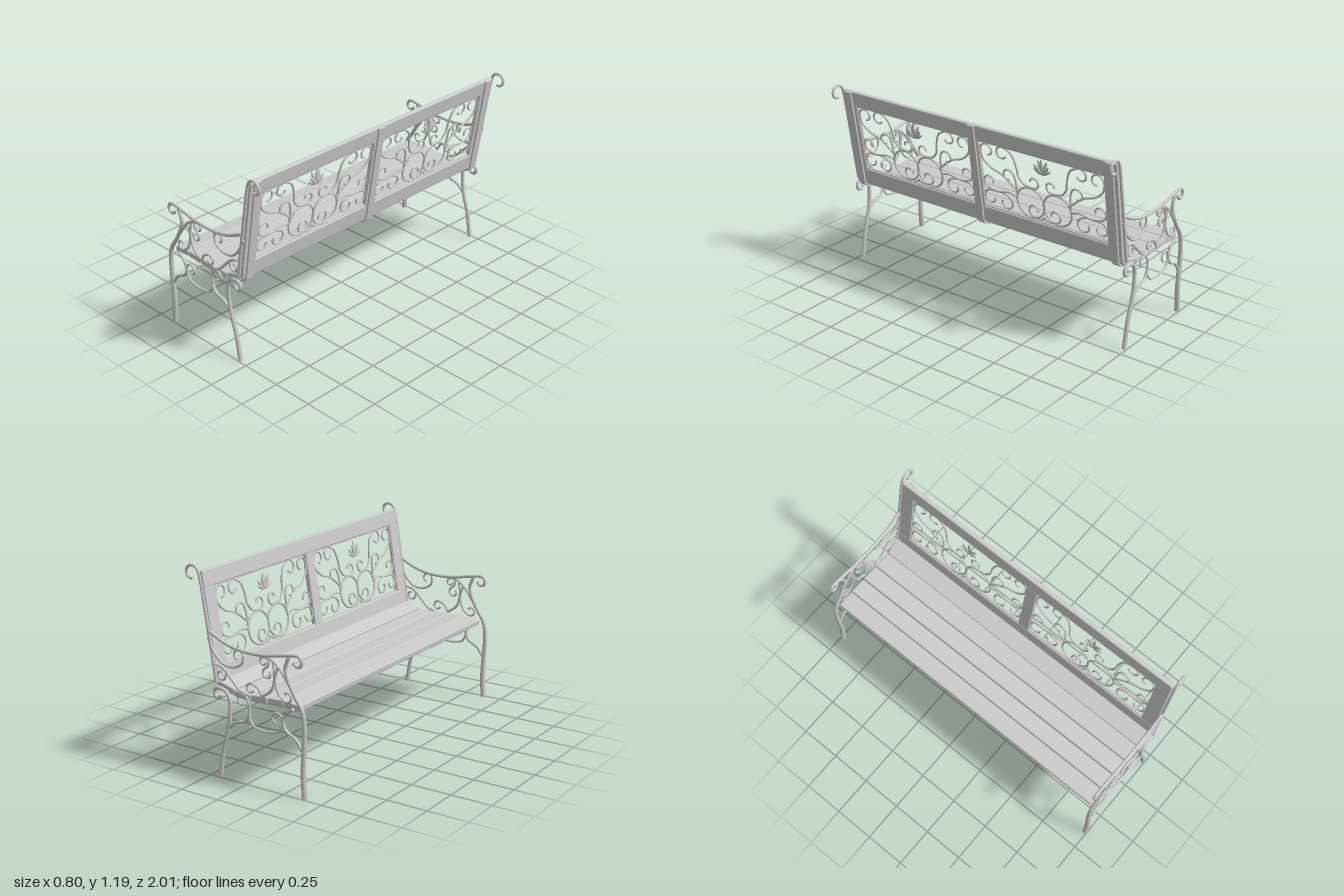
import * as THREE from 'three';
import { RoundedBoxGeometry } from 'three/addons/geometries/RoundedBoxGeometry.js';

// All coordinates below are in hundredths of a unit; the bench faces -x.
const S = 0.01;
const material = new THREE.MeshStandardMaterial({ color: 0xcccccc });

function add(parent, name, geometry) {
  const mesh = new THREE.Mesh(geometry, material);
  mesh.name = name;
  parent.add(mesh);
  return mesh;
}

// Round bar through [x, y, z] points, tapering from r0 to r1, with closed ends
function bar(parent, name, points, r0, r1, sides) {
  const curve = new THREE.CatmullRomCurve3(points.map(p => new THREE.Vector3(...p).multiplyScalar(S)));
  const steps = points.length * 4;
  const geo = new THREE.TubeGeometry(curve, steps, 1, sides);
  const pos = geo.attributes.position, v = new THREE.Vector3();
  for (let i = 0; i < pos.count; i++) {
    const t = Math.floor(i / (sides + 1)) / steps;
    const c = curve.getPointAt(t);
    v.fromBufferAttribute(pos, i).sub(c).multiplyScalar((r0 + (r1 - r0) * t) * S).add(c);
    pos.setXYZ(i, v.x, v.y, v.z);
  }
  add(parent, name, geo);
  for (const [t, r, dir] of [[0, r0, -1], [1, r1, 1]]) {
    const cap = add(parent, name + 'End', new THREE.CircleGeometry(r * S, sides));
    cap.position.copy(curve.getPointAt(t));
    cap.quaternion.setFromUnitVectors(new THREE.Vector3(0, 0, 1), curve.getTangentAt(t).multiplyScalar(dir));
  }
}

// Continue a flat path with a tightening spiral; positive radius turns counter-clockwise
function curl(path, radius) {
  const [a, b] = path.slice(-2);
  let angle = Math.atan2(b[1] - a[1], b[0] - a[0]), [x, y] = b;
  const out = [...path], turn = 0.55;
  for (let i = 0; i < 9; i++) {
    const step = Math.abs(radius) * turn * (1 - 0.045 * i);
    angle += Math.sign(radius) * turn / 2;
    x += step * Math.cos(angle);
    y += step * Math.sin(angle);
    angle += Math.sign(radius) * turn / 2;
    out.push([x, y]);
  }
  return out;
}

// Plank whose cross-section runs from a to b in the xy plane
function plank(parent, name, a, b, thick, z, width, round) {
  const dx = b[0] - a[0], dy = b[1] - a[1];
  const mesh = add(parent, name, new RoundedBoxGeometry(Math.hypot(dx, dy) * S, thick * S, width * S, 2, round * S));
  mesh.position.set((a[0] + b[0]) / 2 * S, (a[1] + b[1]) / 2 * S, z * S);
  mesh.rotation.z = Math.atan2(dy, dx);
}

// Leaning plane of the backrest
const backX = y => 20.5 + (y - 54) * 0.159;
const onBack = y => [backX(y), y];

function sideFrame(z) {
  const frame = new THREE.Group();
  const make = (name, r0, r1, path) => bar(frame, name, path.map(([x, y]) => [x, y, z]), r0, r1, 10);

  // main bars
  make('frontLeg', 1.65, 1, [[-38.3, 0.5], [-37.5, 15], [-38.5, 42], [-37, 50.5], [-31.5, 59], [-26.5, 71], [-29, 78.5]]);
  make('rearLeg', 1.35, 1, curl([[19.2, 0.5], [16.3, 17], [12.5, 30], [11.2, 39], [11.5, 47.6], [13.7, 51], [17.6, 52.2]], -3.3));
  make('armrest', 1, 0.9, curl([[24.5, 83.5], [11.8, 78], [0, 76], [-14, 76.4], [-25, 78.4], [-33.5, 79.7]], 3.4));
  make('backUpright', 1.1, 0.8, curl([[20, 55], [24.5, 82], [30.4, 115]], -4.7));

  // scrolls below the armrest
  make('armScroll', 0.85, 0.6, curl([[25, 80], [21.7, 72.8], [15, 66.5], [7, 66.2], [2.3, 69], [1.4, 71.5]], -3.6));
  make('armScroll', 0.85, 0.6, curl([[-31, 60], [-28, 64], [-23, 70.6], [-17.5, 74.8], [-13, 75.5]], -2.5));
  make('armScroll', 0.7, 0.6, curl([[-16, 75], [-15.3, 71], [-13, 69.2]], -3));
  make('armScroll', 0.75, 0.75, [[-18.5, 73.8], [-19.5, 66.5], [-17.3, 57.8], [-10.5, 52.7]]);
  make('armScroll', 0.75, 0.6, curl([[-22, 72], [-19.7, 64], [-22.4, 56], [-25.5, 53.6]], -3.1));
  make('armScroll', 0.75, 0.6, curl([[-11, 52.7], [-8.5, 57], [-5, 58.7]], -3));
  make('armScroll', 0.8, 0.75, [[20.5, 65.5], [15, 63.9], [8.6, 57.8], [3.8, 53.4], [-0.6, 52]]);
  make('armScroll', 0.7, 0.6, curl([[13.2, 63], [13.5, 60]], 3));

  // braces and apron below the seat
  make('frontBrace', 0.9, 0.9, [[-37, 27.5], [-33, 33], [-26.5, 36.7], [-24.6, 41], [-26.5, 46.3], [-31.3, 49.8]]);
  make('rearBrace', 0.9, 0.9, [[12.5, 30], [7, 34.5], [0.6, 36.7], [-2.2, 40.9]]);
  const apronMiddle = curl([[-13.5, 33.2], [-5, 34.8], [-2.2, 39.3], [-2.2, 46], [-1.2, 49]], -3.7);
  make('apronScroll', 0.7, 0.6, apronMiddle);
  make('apronScroll', 0.7, 0.6, curl([[-13.5, 33.2], [-21.7, 35.1], [-24.2, 39.3], [-24.4, 41.5]], -3.8));
  return frame;
}

// Scrolls of half a back panel as [distance from panel centre, height]
function panelScrolls() {
  return [
    curl([[16.5, 90], [17.5, 97], [20, 103], [24, 105.4]], -4.3),
    curl([[16.5, 90], [13, 86], [7, 84.9]], -3.7),
    curl([[17, 79], [20, 82], [28, 88], [36, 91], [41, 96], [41.8, 100]], 4.5),
    curl([[18.3, 77], [18.5, 85], [19.3, 89]], -4.1),
    curl([[18, 76], [24, 77.5], [32, 76], [38, 77]], 4.3),
    curl([[32, 76], [37.5, 75.8]], -4.6),
    curl([[30, 76.5], [25.5, 75]], 4.7),
    curl([[0, 68], [2, 66], [7, 66.3]], 4),
  ];
}

function backPanel(zc) {
  const panel = new THREE.Group();
  for (const m of [-1, 1]) {
    const at = ([s, y]) => [backX(y), y, zc + m * s];
    for (const path of panelScrolls()) bar(panel, 'panelScroll', path.map(at), 0.65, 0.6, 6);
    // large ring beside the centre line
    const ring = [];
    for (let i = 0; i <= 16; i++) {
      const a = i / 8 * Math.PI;
      ring.push(at([9.2 + 9.5 * Math.cos(a), 75 + 9.5 * Math.sin(a)]));
    }
    bar(panel, 'panelRing', ring, 0.65, 0.65, 6);
    plank(panel, 'panelEdge', onBack(63), onBack(107), 1.2, zc + m * 42.6, 1, 0.2);
  }
  for (const y of [64.2, 106.3]) plank(panel, 'panelEdge', onBack(y - 0.5), onBack(y + 0.5), 1.2, zc, 86, 0.2);
  // crown of pointed leaves
  for (let i = -3; i <= 3; i++) {
    const length = 10 - Math.abs(i) * 1.1;
    const geo = new THREE.SphereGeometry(1, 8, 6).translate(0, 1, 0).scale(0.7 * S, length / 2 * S, 1.1 * S);
    const leaf = add(panel, 'crownLeaf', geo);
    leaf.position.set((backX(95) - 0.4) * S, 95 * S, zc * S);
    leaf.rotation.set(i * 0.36, 0, i % 2 ? 0.04 : -0.12);
  }
  return panel;
}

export function createModel() {
  const bench = new THREE.Group();
  bench.name = 'bench';

  for (const z of [-98.6, 98.6]) {
    const frame = sideFrame(z);
    frame.name = z > 0 ? 'leftFrame' : 'rightFrame';
    bench.add(frame);
  }

  // seat slats, given by the centre lines of their cross-sections
  const slats = [
    [[-35, 50.2], [-24.2, 51.2]], [[-24, 51.2], [-13.5, 50.7]], [[-13.1, 50.9], [-2.2, 50.1]],
    [[-1.7, 50], [9.1, 50.6]], [[9.5, 51.2], [20, 54.2]],
  ];
  for (const [a, b] of slats) plank(bench, 'seatSlat', a, b, 3.6, 0, 195, 0.7);

  // backrest boards and stiles
  plank(bench, 'bottomRail', onBack(53.6), onBack(64), 2.8, 0, 195, 0.8);
  plank(bench, 'topRail', onBack(106.5), onBack(116), 2.8, 0, 195, 0.8);
  for (const [z, w] of [[-93, 9], [0, 7.5], [93, 9]]) plank(bench, 'backStile', onBack(63.5), onBack(107), 2.6, z, w, 0.5);

  // bent straps under the seat and up the backrest
  const strap = [[-31, 48], [-24, 48.9], [-2, 47.9], [9, 48.5], [20.3, 51.8], [22.6, 54], [32.2, 115.5]];
  for (const z of [-93, 0, 93]) {
    for (let i = 1; i < strap.length; i++) plank(bench, 'strap', strap[i - 1], strap[i], 1.3, z, 5, 0.3);
  }

  for (const z of [-46, 46]) {
    const panel = backPanel(z);
    panel.name = 'backPanel';
    bench.add(panel);
  }
  return bench;
}
